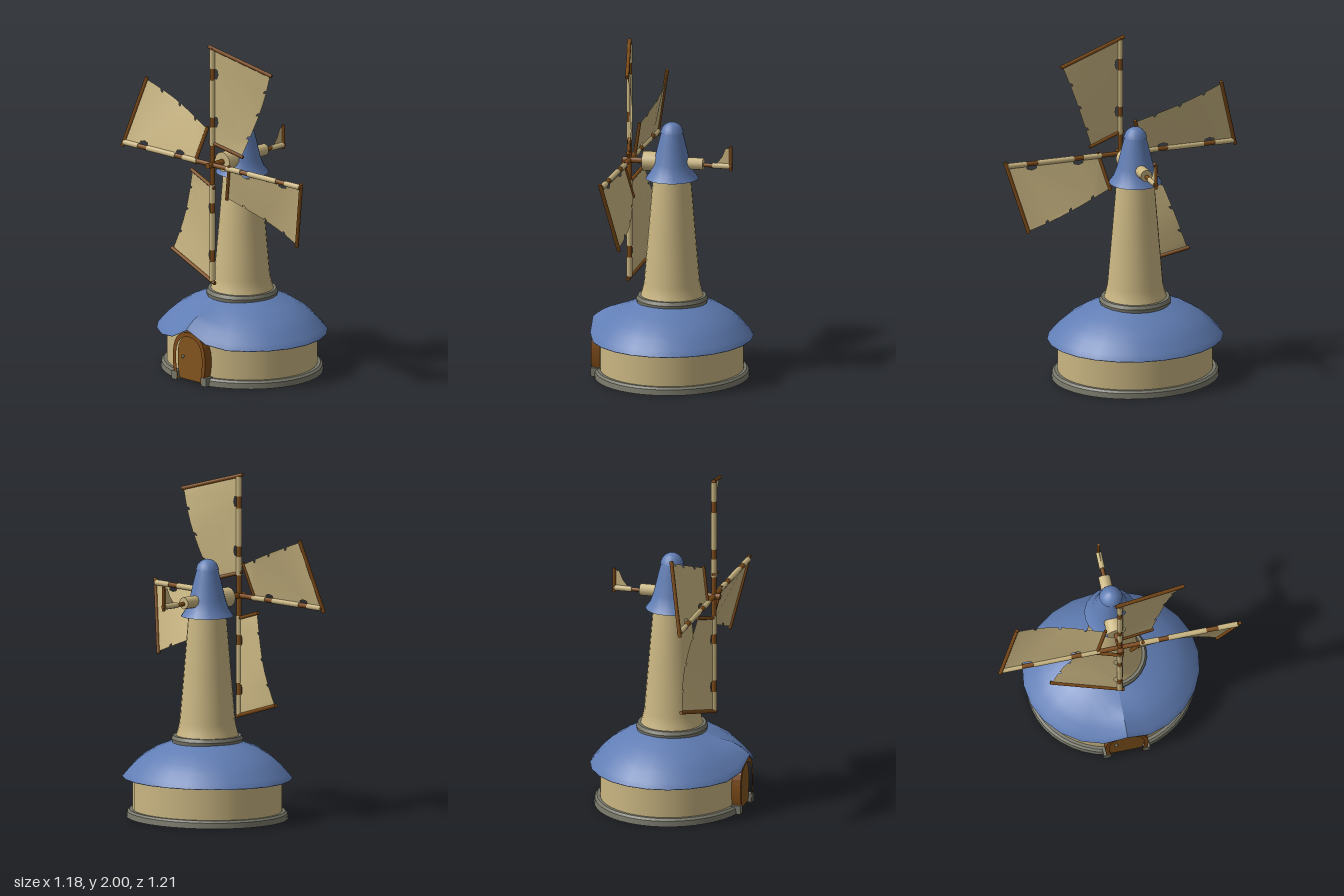
import * as THREE from 'three';

const mat = (name, color, side = THREE.FrontSide) => {
  const m = new THREE.MeshStandardMaterial({ color, side });
  m.name = name;
  return m;
};

export function createModel() {
  const tan = mat('tan plaster and cloth', 0xcab682, THREE.DoubleSide);
  const blue = mat('blue roof', 0x607db4, THREE.DoubleSide);
  const brown = mat('brown timber', 0x7c4a18);
  const doorBrown = mat('door wood', 0x83541d);
  const gray = mat('gray stone', 0x77776a);

  const model = new THREE.Group();
  model.name = 'windmill';
  const mill = new THREE.Group();
  mill.name = 'building';
  mill.position.set(0.09, 0, -0.11);
  mill.rotation.y = -0.835; // door and sails face local +z
  model.add(mill);

  const add = (parent, name, geo, material, x = 0, y = 0, z = 0) => {
    const m = new THREE.Mesh(geo, material);
    m.name = name;
    m.position.set(x, y, z);
    parent.add(m);
    return m;
  };
  const V2 = (p) => new THREE.Vector2(p[0], p[1]);
  const lathe = (pts, seg, start = 0, len = Math.PI * 2) =>
    new THREE.LatheGeometry(pts.map(V2), seg, start, len);
  // round bar between two points
  const bar = (parent, name, a, b, r, material, sides = 8) => {
    const A = new THREE.Vector3(...a), B = new THREE.Vector3(...b);
    const d = B.clone().sub(A);
    const m = add(parent, name, new THREE.CylinderGeometry(r, r, d.length(), sides), material);
    m.position.copy(A).add(B).multiplyScalar(0.5);
    m.quaternion.setFromUnitVectors(new THREE.Vector3(0, 1, 0), d.normalize());
    return m;
  };

  // the base is slightly oval, wider across than deep
  const WIDE = 1.047, DEEP = 0.955;

  // stone footing and wall, both open at the doorway
  const open = (pts, gap) => lathe(pts, 40, gap, Math.PI * 2 - 2 * gap).scale(WIDE, 1, DEEP);
  add(mill, 'footing', open([[0.436, 0], [0.472, 0], [0.472, 0], [0.468, 0.033], [0.468, 0.033],
    [0.455, 0.045], [0.455, 0.045], [0.436, 0.045], [0.436, 0.045], [0.436, 0]], 0.24), gray);
  add(mill, 'wall', open([[0.437, 0.02], [0.437, 0.285]], 0.21), tan);

  // roof skirt, lifted over the door
  const roof = lathe([[0.492, 0.232], [0.497, 0.238], [0.472, 0.268], [0.43, 0.315],
    [0.38, 0.36], [0.3, 0.41], [0.2, 0.45]], 24);
  const p = roof.attributes.position;
  for (let i = 0; i < p.count; i++) {
    const x = p.getX(i), z = p.getZ(i);
    const t = THREE.MathUtils.clamp((Math.hypot(x, z) - 0.3) / 0.195, 0, 1);
    p.setY(i, p.getY(i) + 0.09 * t * Math.exp(-((Math.atan2(x, z) / 0.22) ** 2)));
  }
  roof.scale(WIDE, 1, DEEP);
  roof.computeVertexNormals();
  add(mill, 'roof', roof, blue);

  // tower
  add(mill, 'towerRing', lathe([[0.205, 0.435], [0.21, 0.465], [0.21, 0.465], [0.2, 0.485],
    [0.2, 0.485], [0.17, 0.485]], 24), gray);
  add(mill, 'tower', lathe([[0.184, 0.48], [0.175, 0.51], [0.163, 0.56], [0.137, 0.87], [0.109, 1.21]], 24), tan);
  add(mill, 'cap', lathe([[0.1, 1.188], [0.155, 1.186], [0.155, 1.186], [0.128, 1.225], [0.107, 1.28],
    [0.084, 1.38], [0.063, 1.462], [0.063, 1.462], [0.068, 1.462], [0.068, 1.462], [0.059, 1.488],
    [0.042, 1.508], [0.022, 1.519], [0, 1.523]], 20), blue);

  // door with barrel-shaped arch frame
  const entrance = new THREE.Group();
  entrance.name = 'entrance';
  mill.add(entrance);
  const arch = (C, b, m, top) => {
    const s = new C();
    s.moveTo(-b, 0.01);
    s.quadraticCurveTo(-m * 1.05, 0.09, -m, 0.17);
    s.bezierCurveTo(-m * 0.95, top - 0.03, -m * 0.5, top, 0, top);
    s.bezierCurveTo(m * 0.5, top, m * 0.95, top - 0.03, m, 0.17);
    s.quadraticCurveTo(m * 1.05, 0.09, b, 0.01);
    s.closePath();
    return s;
  };
  const extrude = (s, depth) => new THREE.ExtrudeGeometry(s, { depth, bevelEnabled: false, curveSegments: 8 });
  const frame = arch(THREE.Shape, 0.108, 0.127, 0.302);
  frame.holes.push(arch(THREE.Path, 0.086, 0.102, 0.276));
  add(entrance, 'doorFrame', extrude(frame, 0.055), brown, 0, 0, 0.4);
  add(entrance, 'door', extrude(arch(THREE.Shape, 0.09, 0.106, 0.28), 0.028), doorBrown, 0, 0, 0.408);
  add(entrance, 'doorKnob', new THREE.SphereGeometry(0.009, 10, 8), gray, -0.06, 0.145, 0.442);
  for (const s of [-1, 1])
    add(entrance, 'doorStone', new THREE.BoxGeometry(0.04, 0.05, 0.06), gray, s * 0.118, 0.025, 0.427);

  // turning head: axle housing, tail vane and sails
  const head = new THREE.Group();
  head.name = 'head';
  head.position.y = 1.28;
  mill.add(head);
  bar(head, 'axleHousing', [0, 0, 0], [0, 0, 0.17], 0.059, tan, 12);
  bar(head, 'axle', [0, 0, 0.16], [0, 0, 0.295], 0.018, brown);
  bar(head, 'tailHousing', [0, 0, -0.05], [0, 0, -0.19], 0.036, tan, 10);
  bar(head, 'tailRod', [0, -0.005, -0.18], [0, -0.005, -0.36], 0.012, brown);
  bar(head, 'tailSleeve', [0, -0.005, -0.245], [0, -0.005, -0.345], 0.017, tan);
  bar(head, 'tailPost', [0, -0.03, -0.352], [0, 0.115, -0.352], 0.01, brown);
  const fin = new THREE.ShapeGeometry(new THREE.Shape(
    [[0.265, 0.005], [0.352, 0.005], [0.352, 0.105], [0.32, 0.1], [0.3, 0.05]].map(V2)));
  fin.rotateY(Math.PI / 2);
  add(head, 'tailFin', fin, tan);

  // sail cloth with cut-outs at the spar bands and small tears on the free edge
  const edge = (t, inset = 0) => [0.195 + 0.192 * t - inset, 0.078 + 0.522 * t];
  const outline = [[0, 0.135], edge(0), edge(0.1)];
  for (const t of [0.22, 0.5, 0.78])
    outline.push(edge(t - 0.012), edge(t - 0.01, 0.018), edge(t + 0.012, 0.014), edge(t + 0.02), edge(t + 0.13));
  outline.push(edge(1), [0, 0.705]);
  for (const r of [0.55, 0.26])
    outline.push([0, r + 0.035], [0.03, r + 0.03], [0.036, r], [0.028, r - 0.026], [0, r - 0.03]);
  const cloth = new THREE.ShapeGeometry(new THREE.Shape(outline.map(V2)));
  const tilt = (x) => -0.205 * x;
  const cp = cloth.attributes.position;
  // tilt the cloth back and let its free edge belly out between the bars
  for (let i = 0; i < cp.count; i++) {
    const x = cp.getX(i);
    const t = THREE.MathUtils.clamp((cp.getY(i) - 0.135 + 0.3 * x) / 0.575, 0, 1);
    cp.setZ(i, tilt(x) - 0.1 * x * Math.sin(Math.PI * t));
  }
  cloth.computeVertexNormals();

  const sails = new THREE.Group();
  sails.name = 'sails';
  sails.position.z = 0.255;
  head.add(sails);
  for (let k = 0; k < 4; k++) {
    const blade = new THREE.Group();
    blade.name = 'sail';
    blade.rotation.z = -k * Math.PI / 2;
    sails.add(blade);
    bar(blade, 'spar', [0, 0, 0], [0, 0.708, 0], 0.0145, brown);
    for (const [a, b] of [[0.12, 0.23], [0.29, 0.515], [0.585, 0.7]])
      bar(blade, 'sparSleeve', [0, a, 0], [0, b, 0], 0.0175, tan);
    add(blade, 'cloth', cloth, tan);
    bar(blade, 'tipBar', [-0.025, 0.714, tilt(-0.025)], [0.398, 0.597, tilt(0.398)], 0.0115, brown);
    bar(blade, 'innerBar', [-0.02, 0.139, tilt(-0.02)], [0.206, 0.076, tilt(0.206)], 0.0105, brown);
  }
  return model;
}
